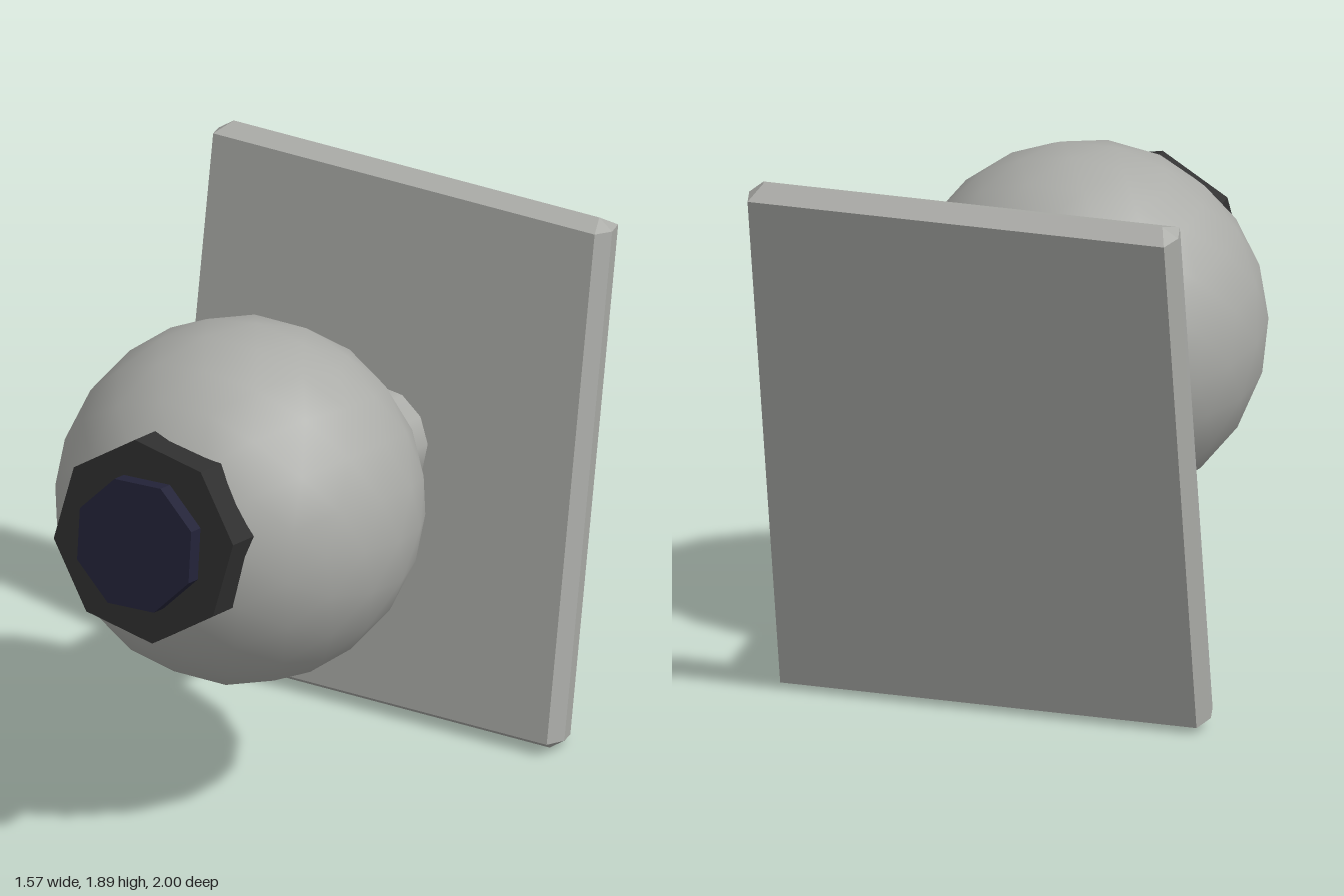
import * as THREE from 'three';
import { ConvexGeometry } from 'three/addons/geometries/ConvexGeometry.js';

const shellGrey = new THREE.MeshStandardMaterial({ name: 'shell grey', color: 0xabaca8 });
const ringBlack = new THREE.MeshStandardMaterial({ name: 'ring black', color: 0x2f2f2f });
const lensBlue = new THREE.MeshStandardMaterial({ name: 'lens dark blue', color: 0x232338 });

function addPart(group, name, geometry, material) {
  const mesh = new THREE.Mesh(geometry, material);
  mesh.name = name;
  group.add(mesh);
  return mesh;
}

// Cylinder lying along z, from z0 to z1, with its first corner turned to the given angle
function barrel(radius, z0, z1, sides, degrees) {
  const geometry = new THREE.CylinderGeometry(radius, radius, z1 - z0, sides);
  geometry.rotateX(Math.PI / 2);
  geometry.rotateZ(THREE.MathUtils.degToRad(degrees + 90));
  geometry.translate(0, 0, (z0 + z1) / 2);
  return geometry;
}

const faceted = (geometry) => {
  const flat = geometry.toNonIndexed();
  flat.computeVertexNormals();
  return flat;
};

// Rectangular slab whose rim rises to a ridge halfway through its thickness
function wallPlate() {
  const points = [];
  for (const sx of [-1, 1]) {
    for (const sy of [-1, 1]) {
      for (const z of [-0.947, -1.107]) points.push(new THREE.Vector3(sx * 0.762, sy * 0.922, z));
      points.push(new THREE.Vector3(sx * 0.785, sy * 0.92, -1.027));
      points.push(new THREE.Vector3(sx * 0.73, sy * 0.958, -1.027));
    }
  }
  return new ConvexGeometry(points);
}

export function createModel() {
  const model = new THREE.Group();
  model.name = 'wallCamera';

  // Everything shares one axis, tilted upward about the ball centre
  const body = new THREE.Group();
  body.name = 'tiltedBody';
  body.position.set(0, 1.127, 0.25);
  body.rotation.x = THREE.MathUtils.degToRad(-10);
  model.add(body);

  addPart(body, 'ballHousing', new THREE.IcosahedronGeometry(0.637, 3), shellGrey);
  addPart(body, 'mountingPlate', wallPlate(), shellGrey);
  addPart(body, 'mountingStem', barrel(0.19, -0.96, -0.5, 12, 8), shellGrey);
  addPart(body, 'lensRing', faceted(barrel(0.358, 0.4, 0.657, 8, 11.5)), ringBlack);
  addPart(body, 'lens', faceted(barrel(0.24, 0.5, 0.72, 8, 25)), lensBlue);

  return model;
}
